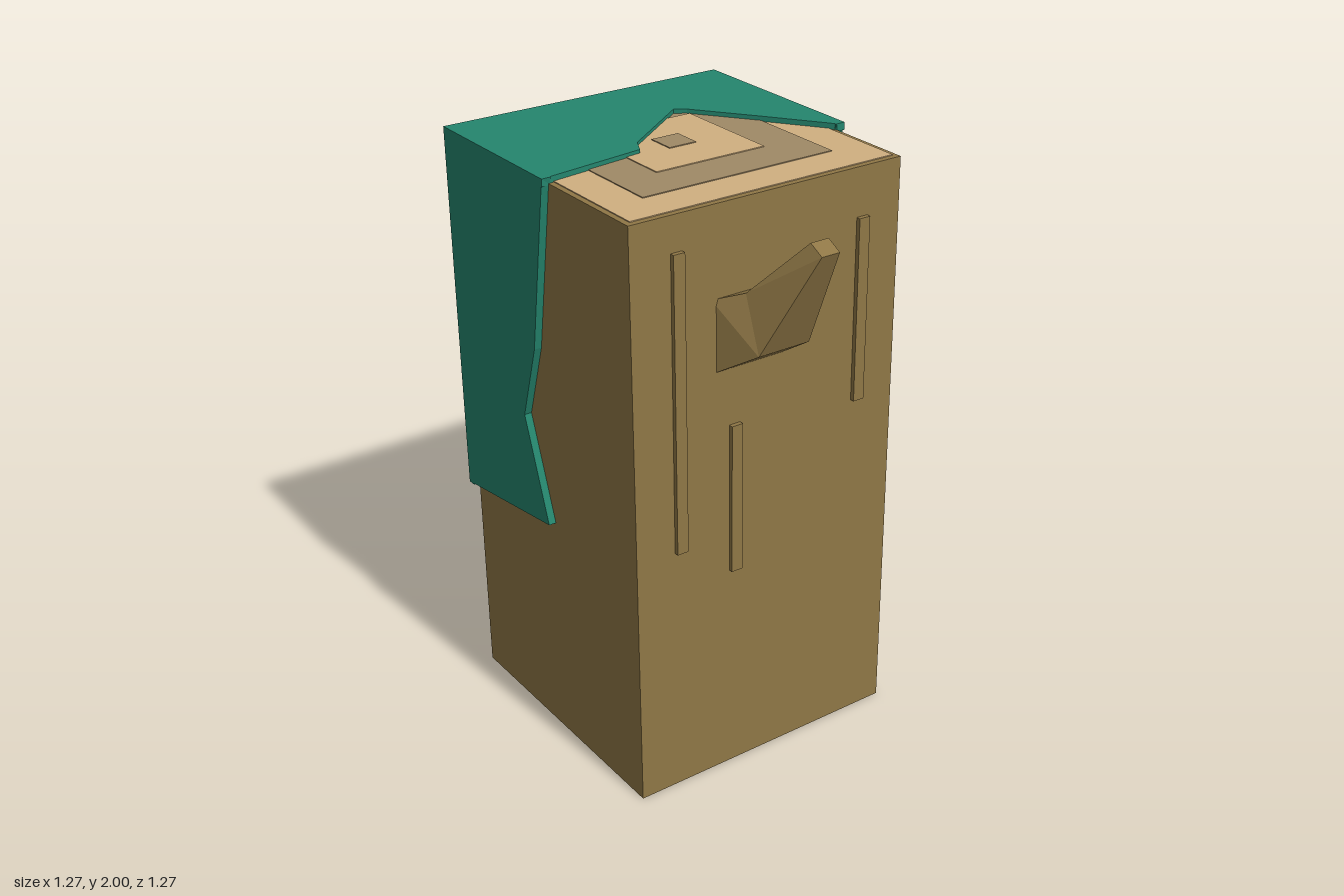
import * as THREE from 'three';

const material = (color) => new THREE.MeshStandardMaterial({ color, flatShading: true });
const bark = material(0x8f7746), paleWood = material(0xd0b080);
const darkWood = material(0xa08a66), moss = material(0x25866e);
const V = (x, y, z) => new THREE.Vector3(x, y, z);

// Box given by its lower and upper corners
function block(name, mat, lo, hi) {
  const mesh = new THREE.Mesh(new THREE.BoxGeometry(...hi.map((h, i) => h - lo[i])), mat);
  mesh.position.set(...hi.map((h, i) => (h + lo[i]) / 2));
  mesh.name = name;
  return mesh;
}

// Slab cut to an outline in the plane (u, v), its outer face at distance `outer`
function slab(name, u, v, outer, depth, points) {
  const n = u.clone().cross(v);
  const shape = new THREE.Shape(points.map((p) => new THREE.Vector2(...p)));
  const geo = new THREE.ExtrudeGeometry(shape, { depth, bevelEnabled: false });
  geo.translate(0, 0, outer - depth);
  geo.applyMatrix4(new THREE.Matrix4().makeBasis(u, v, n));
  const mesh = new THREE.Mesh(geo, moss);
  mesh.name = name;
  return mesh;
}

// Four-sided loft; each section is [sideMin, sideMax, lowY, lowOut, highY, highOut]
function branch(name, sections, place) {
  const pos = [], index = [];
  for (const [s0, s1, y0, o0, y1, o1] of sections) {
    for (const [s, y, o] of [[s0, y0, o0], [s1, y0, o0], [s1, y1, o1], [s0, y1, o1]]) {
      pos.push(...place(s, y, o));
    }
  }
  for (let r = 0; r < sections.length - 1; r++) {
    for (let k = 0; k < 4; k++) {
      const a = r * 4 + k, b = r * 4 + (k + 1) % 4;
      index.push(a, b, b + 4, a, b + 4, a + 4);
    }
  }
  const e = (sections.length - 1) * 4;
  index.push(e, e + 1, e + 2, e, e + 2, e + 3);
  const indexed = new THREE.BufferGeometry();
  indexed.setAttribute('position', new THREE.Float32BufferAttribute(pos, 3));
  indexed.setIndex(index);
  const geo = indexed.toNonIndexed();
  geo.computeVertexNormals();
  const mesh = new THREE.Mesh(geo, bark);
  mesh.name = name;
  return mesh;
}

export function createModel() {
  const model = new THREE.Group();
  model.name = 'mossyStump';

  // Trunk and the square growth rings on its cut top
  model.add(block('trunk', bark, [-0.61, 0, -0.61], [0.375, 1.98, 0.375]));
  [[0.475, paleWood], [0.345, darkWood], [0.198, paleWood], [0.049, darkWood]].forEach(([h, mat], i) => {
    model.add(block('growthRing', mat, [-0.116 - h, 1.97, -0.12 - h], [-0.116 + h, 1.983 + i * 0.003, -0.12 + h]));
  });

  // Raised bark ridges: [centre, bottom, top]
  for (const [x, y0, y1] of [[-0.45, 0.88, 1.865], [-0.245, 0.745, 1.26], [0.23, 1.205, 1.82]]) {
    model.add(block('frontRidge', bark, [x - 0.02, y0, 0.36], [x + 0.02, y1, 0.39]));
  }
  for (const [z, y0, y1] of [[0.25, 0.765, 1.615], [0.1, 1.405, 1.9], [-0.26, 0.225, 0.825]]) {
    model.add(block('sideRidge', bark, [0.36, y0, z - 0.02], [0.393, y1, z + 0.02]));
  }

  // Broken branch stubs
  model.add(branch('frontBranch', [
    [-0.32, -0.065, 1.44, 0.36, 1.68, 0.36],
    [-0.25, -0.065, 1.53, 0.5, 1.71, 0.435],
    [-0.135, -0.07, 1.86, 0.637, 1.887, 0.585],
  ], (s, y, o) => [s, y, o]));
  model.add(branch('sideBranch', [
    [-0.13, 0.085, 1.06, 0.36, 1.28, 0.36],
    [-0.115, 0.04, 1.12, 0.47, 1.32, 0.49],
    [-0.08, -0.03, 1.43, 0.635, 1.47, 0.61],
  ], (s, y, o) => [o, y, -s]));

  // Moss draped over the top, back and both sides
  const X = V(1, 0, 0), Y = V(0, 1, 0), Z = V(0, 0, 1);
  const drape = new THREE.Group();
  drape.name = 'moss';
  drape.add(
    slab('mossTop', X, Z.clone().negate(), 2, 0.025, [
      [-0.635, 0.04], [-0.26, 0.09], [-0.23, 0.15], [0.045, 0.355], [0.08, 0.33],
      [0.23, 0.13], [0.375, -0.07], [0.405, -0.07], [0.405, 0.635], [-0.635, 0.635],
    ]),
    slab('mossRight', Z.clone().negate(), Y, 0.405, 0.035, [
      [-0.07, 2], [-0.03, 1.86], [0.02, 1.69], [0.19, 1.53], [0.115, 1.3], [0.115, 1.02],
      [0.355, 0.87], [0.425, 0.88], [0.23, 1.42], [0.33, 1.17], [0.445, 0.96],
      [0.53, 0.9], [0.635, 0.9], [0.635, 2],
    ]),
    slab('mossBack', X.clone().negate(), Y, 0.635, 0.03, [
      [-0.405, 2], [-0.405, 0.9], [-0.06, 0.89], [0.06, 0.81], [0.24, 0.82],
      [0.46, 0.73], [0.635, 0.73], [0.635, 2],
    ]),
    slab('mossLeft', Z, Y, 0.635, 0.03, [
      [-0.635, 2], [-0.635, 0.73], [-0.1, 0.81], [-0.22, 1.16], [-0.135, 1.42], [-0.04, 2],
    ]),
  );
  model.add(drape);
  return model;
}
